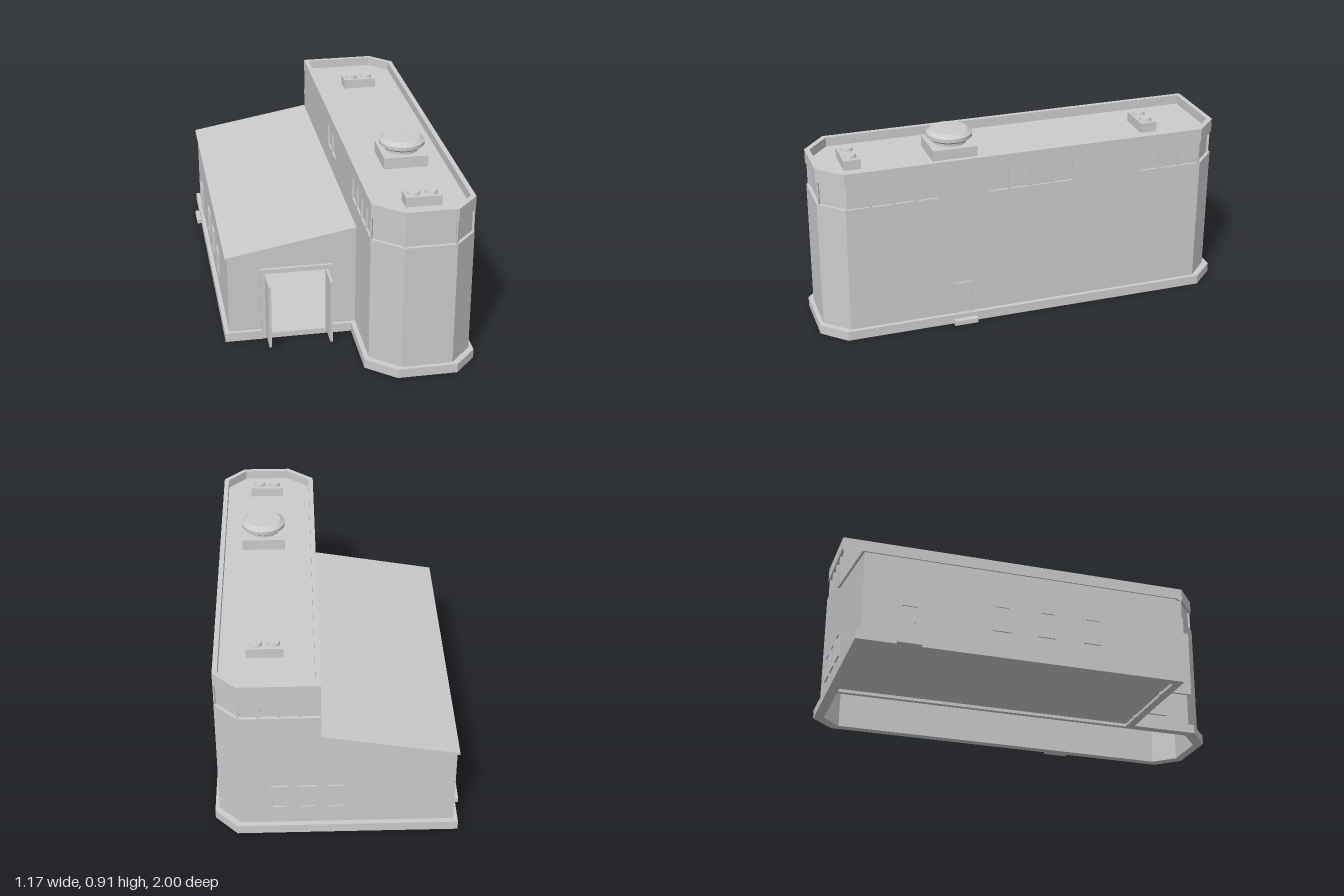
import * as THREE from 'three';

const grey = new THREE.MeshStandardMaterial({ color: 0xcccccc, flatShading: true, side: THREE.DoubleSide });

function add(parent, name, geometry, x = 0, y = 0, z = 0) {
  const mesh = new THREE.Mesh(geometry, grey);
  mesh.name = name;
  mesh.position.set(x, y, z);
  parent.add(mesh);
  return mesh;
}

// Box given by its limits on each axis
function box(parent, name, [x0, x1], [y0, y1], [z0, z1]) {
  return add(parent, name, new THREE.BoxGeometry(x1 - x0, y1 - y0, z1 - z0),
    (x0 + x1) / 2, (y0 + y1) / 2, (z0 + z1) / 2);
}

const toShape = (pts) => new THREE.Shape(pts.map(([x, y]) => new THREE.Vector2(x, y)));

// Upright prism from a plan of [x, z] points, with an optional hole
function prism(parent, name, plan, y0, y1, hole) {
  const flip = (pts) => pts.map(([x, z]) => [x, -z]);
  const shape = toShape(flip(plan));
  if (hole) shape.holes.push(toShape(flip(hole)));
  const g = new THREE.ExtrudeGeometry(shape, { depth: y1 - y0, bevelEnabled: false });
  return add(parent, name, g.rotateX(-Math.PI / 2), 0, y0, 0);
}

// Prism along z from an [x, y] profile, with an optional hole
function slab(parent, name, profile, z0, z1, hole) {
  const shape = toShape(profile);
  if (hole) shape.holes.push(toShape(hole));
  return add(parent, name, new THREE.ExtrudeGeometry(shape, { depth: z1 - z0, bevelEnabled: false }), 0, 0, z0);
}

const rect = (x0, x1, y0, y1) => [[x0, y0], [x1, y0], [x1, y1], [x0, y1]];

// Cuts shallow window recesses into the edges of a plan.
// runs[i] lists [start, end, panes] as distances along edge i.
function recessed(plan, runs, depth, gap) {
  const out = [];
  plan.forEach(([ax, az], i) => {
    const [bx, bz] = plan[(i + 1) % plan.length];
    const len = Math.hypot(bx - ax, bz - az);
    const ux = (bx - ax) / len, uz = (bz - az) / len;
    const at = (s, d) => out.push([ax + ux * s - uz * d, az + uz * s + ux * d]);
    out.push([ax, az]);
    for (const [start, end, panes] of runs(i, len)) {
      const step = (end - start) / panes;
      for (let k = 0; k < panes; k++) {
        const s = start + k * step + gap, e = start + (k + 1) * step - gap;
        at(s, 0); at(s, depth); at(e, depth); at(e, 0);
      }
    }
  });
  return out;
}

// Framed window or door, standing on its own origin and facing +z
function framed(parent, name, w, h, isDoor) {
  const g = new THREE.Group();
  g.name = name;
  const t = 0.009;
  slab(g, 'frame', rect(-w / 2, w / 2, 0, h), -0.004, 0.008,
    rect(-w / 2 + t, w / 2 - t, isDoor ? 0.002 : t, h - t));
  box(g, 'panel', [-w / 2 + t, w / 2 - t], [0, h - t], [-0.004, 0.002]);
  if (isDoor) box(g, 'handle', [w / 2 - 0.022, w / 2 - 0.014], [h * 0.45, h * 0.52], [0, 0.008]);
  parent.add(g);
  return g;
}

function tower(root) {
  const g = new THREE.Group();
  g.name = 'tower';
  root.add(g);
  const plan = [[0.065, -0.975], [0.435, -0.975], [0.54, -0.87], [0.54, 0.87],
    [0.435, 0.98], [0.195, 0.98], [0.065, 0.87]];
  const inner = [[0.088, -0.952], [0.425, -0.952], [0.517, -0.86], [0.517, 0.86],
    [0.425, 0.957], [0.205, 0.957], [0.088, 0.858]];
  // Window band: ends slightly set back, long sides flush
  const band = [[0.065, -0.969], [0.433, -0.969], [0.54, -0.864], [0.54, 0.864],
    [0.433, 0.974], [0.197, 0.974], [0.065, 0.864]];
  const runs = (i, len) => {
    if (i === 0) return [[0, len, 4]];
    if (i === 2) return [[0, 0.31, 3], [0.645, 1.065, 4], [1.295, len, 4]];
    if (i === 6) return [[0, 0.43, 4], [0.855, 1.075, 2]];
    return [[0, len, 1]];
  };
  prism(g, 'towerWalls', plan, 0, 0.655, inner);
  prism(g, 'windowBand', recessed(band, runs, 0.01, 0.006), 0.655, 0.765, inner);
  prism(g, 'parapet', plan, 0.765, 0.83, inner);
  prism(g, 'towerRoof', inner, 0.765, 0.785);

  // Roof fan
  box(g, 'fanBase', [0.217, 0.43], [0.785, 0.84], [0.217, 0.43]);
  const profile = [[0.08, 0.838], [0.08, 0.853], [0.092, 0.858], [0.108, 0.87],
    [0.108, 0.887], [0.086, 0.904], [0, 0.906]].map(([r, y]) => new THREE.Vector2(r, y));
  add(g, 'fanCap', new THREE.LatheGeometry(profile, 24), 0.325, 0, 0.323);

  // Twin vents near both ends
  for (const z of [-0.66, 0.8]) {
    box(g, 'ventBox', [0.227, 0.395], [0.785, 0.832], [z - 0.04, z + 0.04]);
    for (const dx of [-0.04, 0.04])
      add(g, 'ventCap', new THREE.CylinderGeometry(0.026, 0.03, 0.014, 16), 0.311 + dx, 0.839, z);
  }
  // Side door and its step
  const door = framed(g, 'towerDoor', 0.09, 0.16, true);
  door.position.set(0.54, 0.045, 0.325);
  door.rotation.y = Math.PI / 2;
  box(g, 'towerStep', [0.55, 0.585], [0, 0.023], [0.265, 0.38]);
}

function hall(root) {
  const g = new THREE.Group();
  g.name = 'hall';
  root.add(g);
  const gable = [[-0.545, 0], [0.066, 0], [0.066, 0.546], [-0.545, 0.437]];
  const front = [[-0.545, 0], [-0.37, 0], [-0.37, 0.35], [-0.065, 0.35], [-0.065, 0],
    [0.066, 0], [0.066, 0.546], [-0.545, 0.437]];
  slab(g, 'frontWall', front, 0.52, 0.543);
  slab(g, 'backWall', gable, -0.975, -0.952);
  box(g, 'sideWall', [-0.545, -0.522], [0, 0.438], [-0.96, 0.53]);
  slab(g, 'hallRoof', [[-0.556, 0.435], [0.066, 0.546], [0.066, 0.556], [-0.556, 0.446]], -0.986, 0.554);
  box(g, 'hallFloor', [-0.523, 0.066], [0.015, 0.027], [-0.953, 0.545]);

  // Gate: frame, sill and two leaves standing open
  slab(g, 'gateFrame', [[-0.392, 0], [-0.37, 0], [-0.37, 0.35], [-0.067, 0.35], [-0.067, 0],
    [-0.047, 0], [-0.047, 0.372], [-0.392, 0.372]], 0.515, 0.558);
  box(g, 'gateSill', [-0.37, -0.067], [0, 0.027], [0.52, 0.558]);
  for (const x of [-0.365, -0.075])
    box(g, 'gateLeaf', [x - 0.006, x + 0.006], [0.027, 0.35], [0.55, 0.685]);

  // Windows on the back and the outer side
  for (const x of [0, 0.128, 0.257]) {
    const w = framed(g, 'backWindow', 0.086, 0.13, false);
    w.position.set(x, 0.135, -0.975);
    w.rotation.y = Math.PI;
  }
  for (const z of [-0.33, -0.11, 0.11]) {
    const w = framed(g, 'sideWindow', 0.086, 0.13, false);
    w.position.set(-0.545, 0.135, z);
    w.rotation.y = -Math.PI / 2;
  }
  const door = framed(g, 'hallDoor', 0.09, 0.16, true);
  door.position.set(-0.545, 0.045, -0.76);
  door.rotation.y = -Math.PI / 2;
  box(g, 'hallStep', [-0.587, -0.555], [0, 0.023], [-0.817, -0.703]);
}

export function createModel() {
  const root = new THREE.Group();
  root.name = 'building';
  tower(root);
  hall(root);
  // Plinth strip around both volumes, open at the gate
  prism(root, 'plinth', [
    [-0.047, 0.56], [0.042, 0.56], [0.042, 0.89], [0.175, 1], [0.455, 1], [0.56, 0.89], [0.56, -0.89],
    [0.455, -1], [-0.565, -1], [-0.565, 0.56], [-0.392, 0.56],
    [-0.392, 0.53], [-0.535, 0.53], [-0.535, -0.965], [0.43, -0.965], [0.53, -0.865], [0.53, 0.865],
    [0.43, 0.97], [0.2, 0.97], [0.075, 0.864], [0.075, 0.53], [-0.047, 0.53],
  ], 0, 0.045);
  return root;
}
